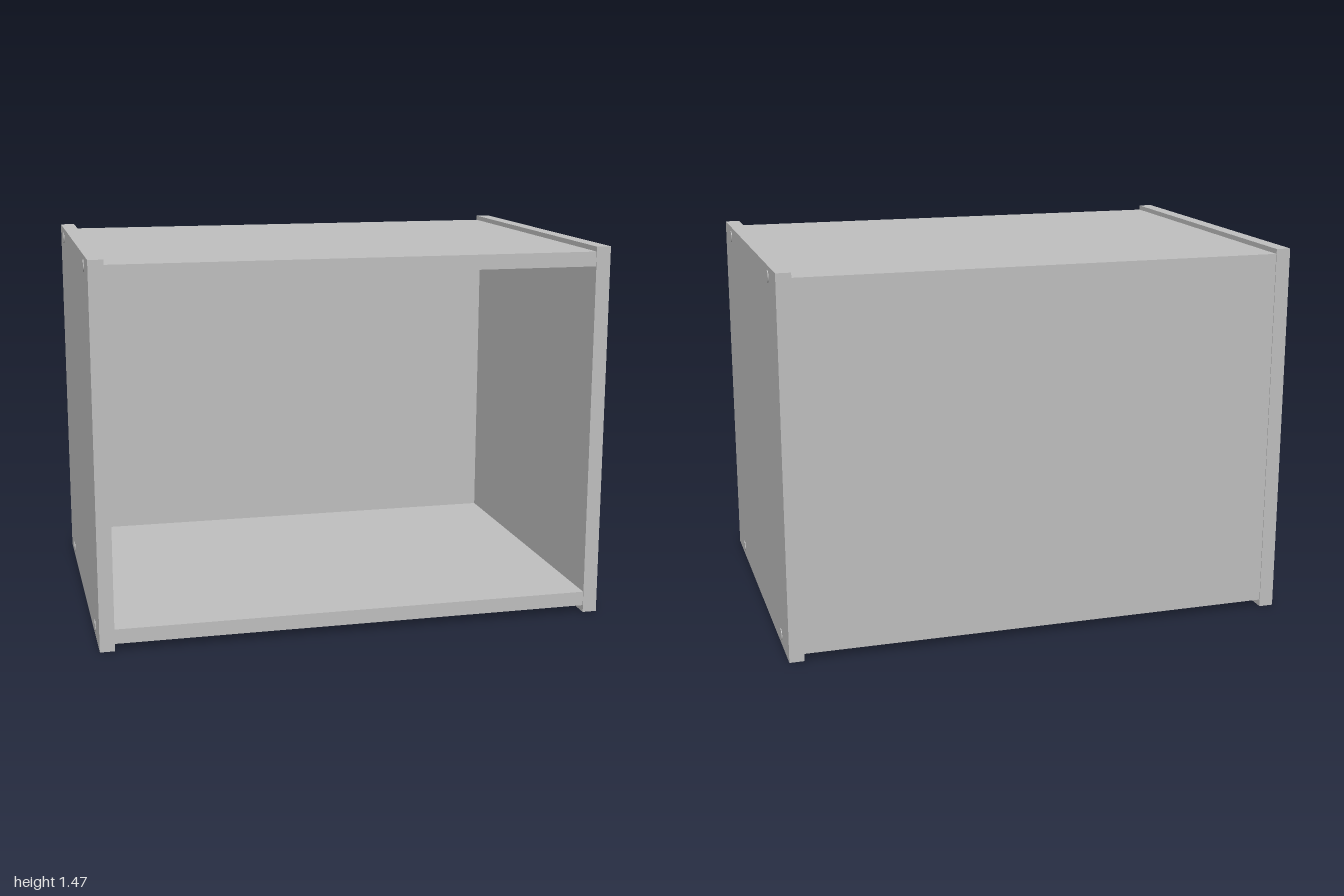
import * as THREE from 'three';

const HALF_DEPTH = 0.7, HEIGHT = 1.474, BOARD = 0.057;
const SIDE_OUTER = 0.997, SIDE_INNER = SIDE_OUTER - BOARD;
const SHELF_LOW = 0.028, SHELF_HIGH = 1.398;

export function createModel() {
  const model = new THREE.Group();
  model.name = 'openCabinet';
  const grey = new THREE.MeshStandardMaterial({ color: 0xc0c0c0 });
  grey.name = 'light grey';

  // Box given by its minimum and maximum corners
  function board(name, min, max) {
    const size = max.map((v, i) => v - min[i]);
    const mesh = new THREE.Mesh(new THREE.BoxGeometry(...size), grey);
    mesh.position.set(...max.map((v, i) => (v + min[i]) / 2));
    mesh.name = name;
    model.add(mesh);
  }

  // Top and bottom boards between the sides
  for (const [name, y] of [['bottomBoard', SHELF_LOW], ['topBoard', SHELF_HIGH]]) {
    board(name, [-SIDE_INNER, y, -HALF_DEPTH + 0.003], [SIDE_INNER, y + BOARD, HALF_DEPTH - 0.003]);
  }

  // Back panel closing the rear between the two boards
  board('backPanel',
    [-SIDE_INNER, SHELF_LOW + BOARD, -HALF_DEPTH + 0.003],
    [SIDE_INNER, SHELF_HIGH, -HALF_DEPTH + BOARD + 0.003]);

  // Side panels, each with four round screw caps
  const capGeometry = new THREE.CylinderGeometry(0.023, 0.023, 0.006, 24);
  capGeometry.rotateZ(Math.PI / 2);
  for (const [side, s] of [['left', 1], ['right', -1]]) {
    const xs = [s * SIDE_INNER, s * SIDE_OUTER].sort((a, b) => a - b);
    board(side + 'SidePanel', [xs[0], 0, -HALF_DEPTH], [xs[1], HEIGHT, HALF_DEPTH]);
    for (const y of [0.041, 1.433]) {
      for (const z of [-0.518, 0.518]) {
        const cap = new THREE.Mesh(capGeometry, grey);
        cap.position.set(s * SIDE_OUTER, y, z);
        cap.name = side + 'ScrewCap';
        model.add(cap);
      }
    }
  }
  return model;
}
